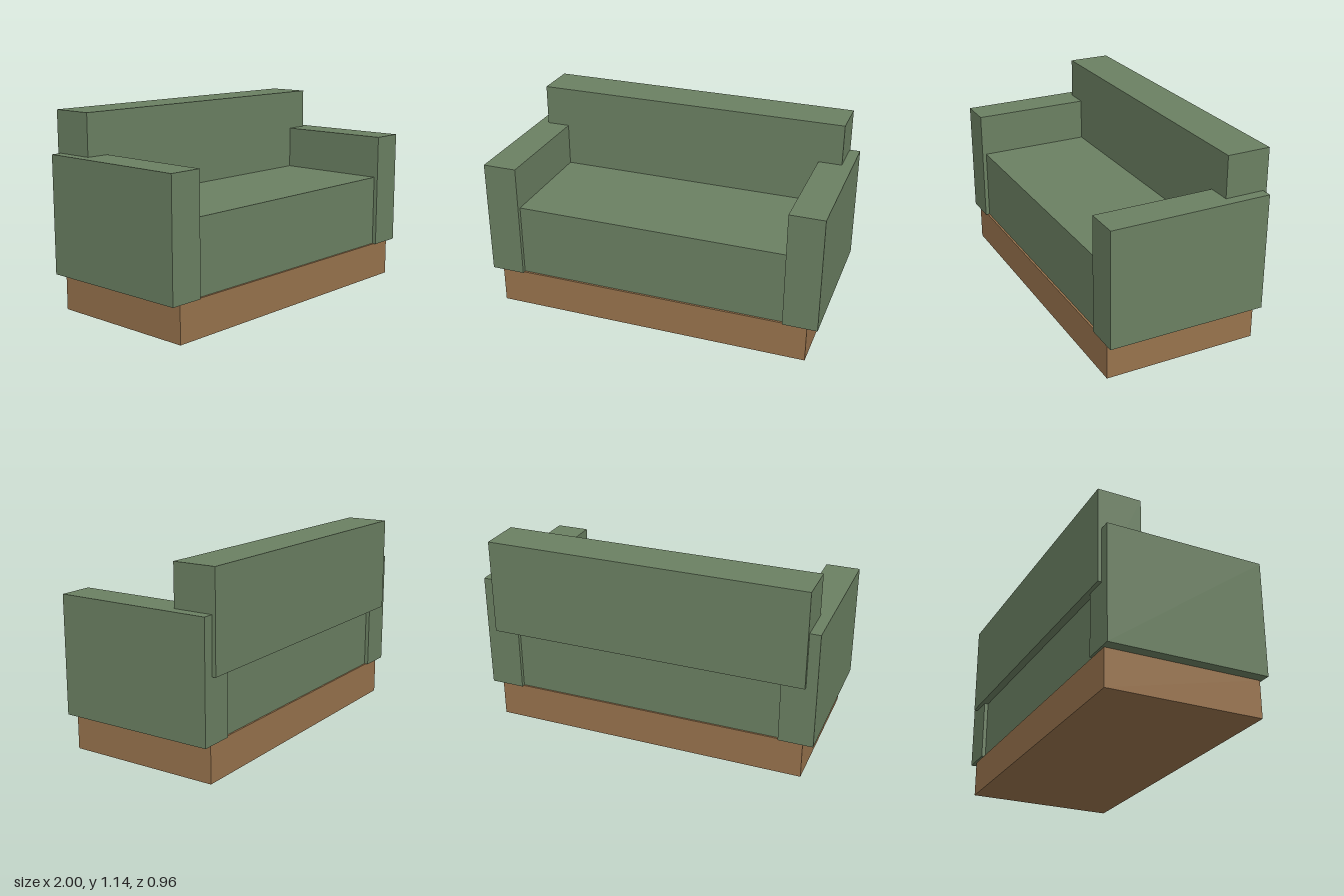
import * as THREE from 'three';

export function createModel() {
  const sofa = new THREE.Group();
  sofa.name = 'sofa';
  const fabric = new THREE.MeshStandardMaterial({ color: 0x6b8062 });
  fabric.name = 'green fabric';
  const wood = new THREE.MeshStandardMaterial({ color: 0x98734d });
  wood.name = 'brown wood';

  // Box given by its lower and upper limits on each axis
  function block(name, material, [x0, x1], [y0, y1], [z0, z1]) {
    const mesh = new THREE.Mesh(new THREE.BoxGeometry(x1 - x0, y1 - y0, z1 - z0), material);
    mesh.position.set((x0 + x1) / 2, (y0 + y1) / 2, (z0 + z1) / 2);
    mesh.name = name;
    sofa.add(mesh);
  }

  // Plinth and seat
  block('base', wood, [-0.938, 0.938], [0, 0.218], [-0.445, 0.468]);
  block('seat', fabric, [-0.8, 0.8], [0.218, 0.645], [-0.435, 0.456]);

  // Backrest, resting between and over the arms
  block('backrest', fabric, [-0.938, 0.938], [0.58, 1.142], [-0.48, -0.225]);

  // Armrests
  block('leftArm', fabric, [0.8, 1], [0.217, 0.9], [-0.458, 0.48]);
  block('rightArm', fabric, [-1, -0.8], [0.217, 0.9], [-0.458, 0.48]);

  return sofa;
}
